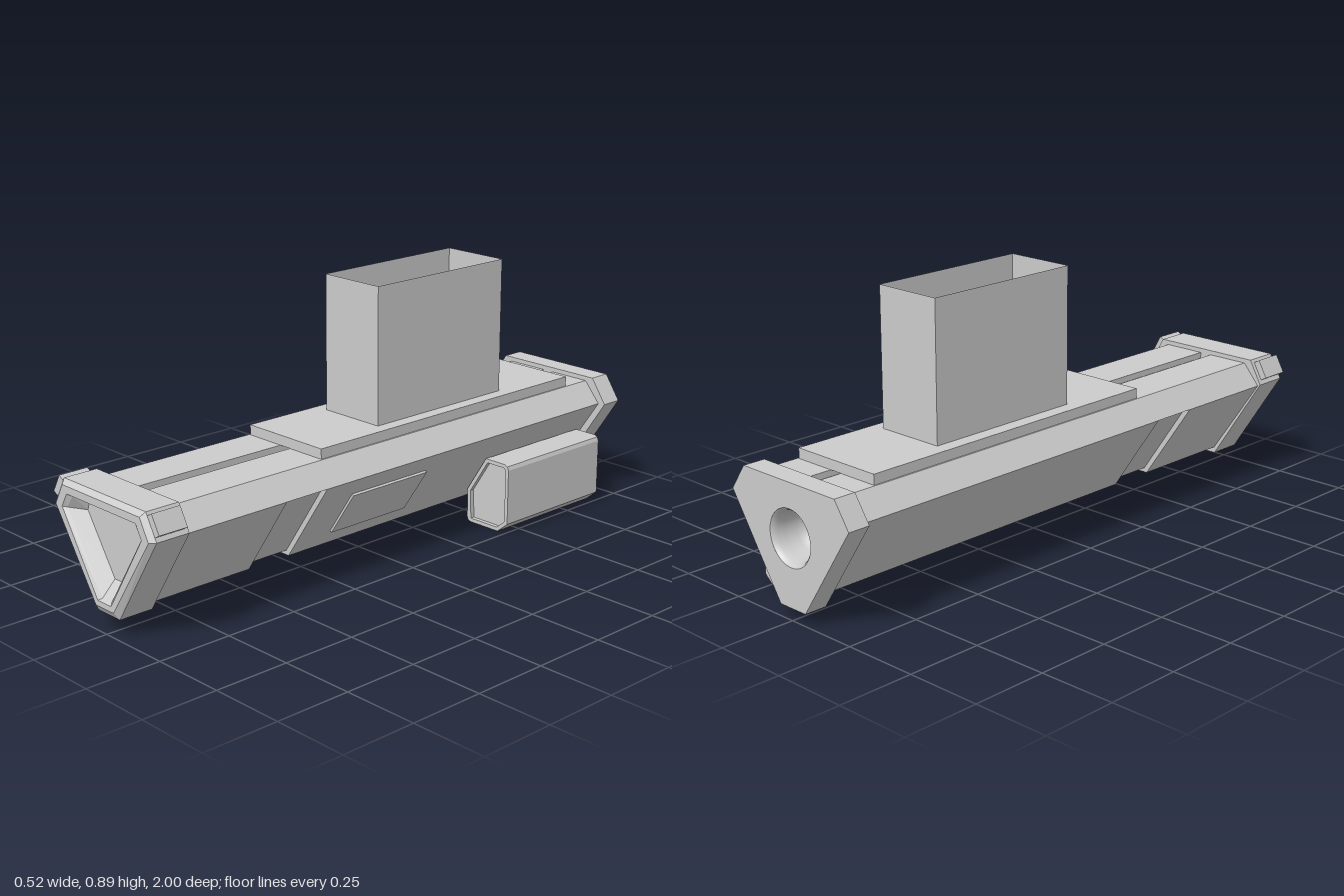
import * as THREE from 'three';

const CX = -0.005; // centre line of the tube
const mat = new THREE.MeshStandardMaterial({ color: 0xcccccc, flatShading: true });
const thinMat = new THREE.MeshStandardMaterial({ color: 0xcccccc, flatShading: true, side: THREE.DoubleSide });
const smoothMat = new THREE.MeshStandardMaterial({ color: 0xcccccc, side: THREE.DoubleSide });

// Truncated triangle, counter-clockwise seen from the front
const tri = (top, topHalf, wideY, wideHalf, bottom, bottomHalf) => [
  [topHalf, top], [-topHalf, top], [-wideHalf, wideY],
  [-bottomHalf, bottom], [bottomHalf, bottom], [wideHalf, wideY],
].map(([x, y]) => [x + CX, y]);

const toShape = (points) => new THREE.Shape(points.map(([x, y]) => new THREE.Vector2(x, y)));

// Extrudes a shape between two z positions
function prism(shape, z0, z1) {
  const geo = new THREE.ExtrudeGeometry(shape, { depth: z1 - z0, bevelEnabled: false, curveSegments: 24 });
  return geo.translate(0, 0, z0);
}

// Skins cross-sections [points, z] in order and closes both ends
function loft(sections) {
  const pos = [];
  const at = (s, i) => [...s[0][i % s[0].length], s[1]];
  const n = sections[0][0].length;
  for (let k = 0; k + 1 < sections.length; k++) {
    const [a, b] = [sections[k], sections[k + 1]];
    for (let i = 0; i < n; i++) {
      pos.push(...at(a, i), ...at(a, i + 1), ...at(b, i + 1));
      pos.push(...at(a, i), ...at(b, i + 1), ...at(b, i));
    }
  }
  const first = sections[0], last = sections[sections.length - 1];
  for (let i = 1; i + 1 < n; i++) {
    pos.push(...at(first, 0), ...at(first, i + 1), ...at(first, i));
    pos.push(...at(last, 0), ...at(last, i), ...at(last, i + 1));
  }
  const geo = new THREE.BufferGeometry();
  geo.setAttribute('position', new THREE.Float32BufferAttribute(pos, 3));
  geo.computeVertexNormals();
  return geo;
}

export function createModel() {
  const group = new THREE.Group();
  const add = (name, geo, material = mat) => {
    const mesh = new THREE.Mesh(geo, material);
    mesh.name = name;
    group.add(mesh);
    return mesh;
  };
  const roundHole = (shape, r) => {
    shape.holes.push(new THREE.Path().absarc(CX, 0.255, r, 0, Math.PI * 2, true));
    return shape;
  };

  // Tube body, with a slot along its top
  const slot = [[0.022, 0.41], [0.022, 0.39], [-0.022, 0.39], [-0.022, 0.41]].map(([x, y]) => [x + CX, y]);
  const bodyPoints = tri(0.41, 0.17, 0.34, 0.23, 0.075, 0.05);
  bodyPoints.splice(1, 0, ...slot);
  add('rearBody', prism(roundHole(toShape(bodyPoints), 0.086), -0.93, 0.34));
  add('frontBody', prism(toShape(bodyPoints), 0.5, 0.88));

  // Recessed band round the lower sides
  const band = [
    [0.17, 0.41], [-0.17, 0.41], [-0.23, 0.34], [-0.208, 0.338],
    [-0.04, 0.09], [0.04, 0.09], [0.208, 0.338], [0.23, 0.34],
  ].map(([x, y]) => [x + CX, y]);
  band.splice(1, 0, ...slot);
  add('recessedBand', prism(toShape(band), 0.34, 0.5));

  // Front cap: outer wall, bevelled rim and sunken face in one skin
  const capOuter = tri(0.425, 0.195, 0.345, 0.24, 0.055, 0.052);
  add('frontCap', loft([
    [capOuter, 0.87],
    [capOuter, 0.985],
    [tri(0.41, 0.185, 0.343, 0.222, 0.078, 0.043), 1],
    [tri(0.386, 0.165, 0.342, 0.19, 0.095, 0.032), 1],
    [tri(0.38, 0.15, 0.34, 0.178, 0.102, 0.022), 0.99],
    [tri(0.36, 0.13, 0.33, 0.14, 0.15, 0.02), 0.945],
  ]));

  // Tabs on the upper corners of the front cap
  for (const side of [-1, 1]) {
    const tab = add(side > 0 ? 'leftTab' : 'rightTab', new THREE.BoxGeometry(0.04, 0.065, 0.1));
    tab.position.set(CX + side * 0.219, 0.388, 0.935);
    tab.rotation.z = side * 0.512;
  }

  // Rear cap with a flared round opening
  const rearShape = toShape(tri(0.425, 0.2, 0.342, 0.257, 0.038, 0.055));
  add('rearCap', prism(roundHole(rearShape, 0.09), -1, -0.925));
  const bowl = [[0.09, 0], [0.084, 0.006], [0.079, 0.018], [0.075, 0.04], [0.071, 0.08], [0.06, 0.11], [0.035, 0.128], [0, 0.133]]
    .map(([r, d]) => new THREE.Vector2(r, d));
  const bowlMesh = add('rearBowl', new THREE.LatheGeometry(bowl, 40), smoothMat);
  bowlMesh.rotation.x = Math.PI / 2;
  bowlMesh.position.set(CX, 0.255, -1);

  // Mounting plate, open under the hollow box
  const plate = toShape([[-0.17, -0.305], [0.16, -0.305], [0.16, 0.825], [-0.17, 0.825]]);
  plate.holes.push(new THREE.Path([[-0.122, -0.025], [-0.122, 0.535], [0.115, 0.535], [0.115, -0.025]]
    .map(([x, y]) => new THREE.Vector2(x, y))));
  add('mountingPlate', prism(plate, 0.41, 0.443).rotateX(-Math.PI / 2));

  // Thin-walled box, open at top and bottom
  const walls = new THREE.Group();
  walls.name = 'hollowBox';
  const [w, h, d] = [0.237, 0.48, 0.56];
  for (let i = 0; i < 4; i++) {
    const across = i % 2 === 0;
    const wall = new THREE.Mesh(new THREE.PlaneGeometry(across ? w : d, h), thinMat);
    wall.name = 'boxWall';
    wall.rotation.y = i * Math.PI / 2;
    wall.position.set([0, w / 2, 0, -w / 2][i], 0, [d / 2, 0, -d / 2, 0][i]);
    walls.add(wall);
  }
  walls.position.set(-0.0035, 0.65, -0.255);
  group.add(walls);

  // Raised panel on the left flank
  const panel = add('sidePanel', new THREE.BoxGeometry(0.016, 0.18, 0.32));
  panel.position.set(0.133, 0.205, 0.04);
  panel.rotation.z = -0.597;

  // Side pod: shell with a sunken front face
  const pod = toShape([
    [0.095, 0], [0.218, 0], [0.26, 0.035], [0.26, 0.222], [0.255, 0.235],
    [0.242, 0.24], [0.16, 0.24], [0.08, 0.115], [0.08, 0.015], [0.084, 0.004],
  ]);
  const inner = [[0.097, 0.013], [0.213, 0.013], [0.247, 0.041], [0.247, 0.22], [0.24, 0.227], [0.167, 0.227], [0.093, 0.111]];
  pod.holes.push(new THREE.Path(inner.map(([x, y]) => new THREE.Vector2(x, y))));
  add('podShell', prism(pod, -0.89, -0.43));
  add('podCore', prism(toShape(inner), -0.89, -0.445));

  return group;
}
